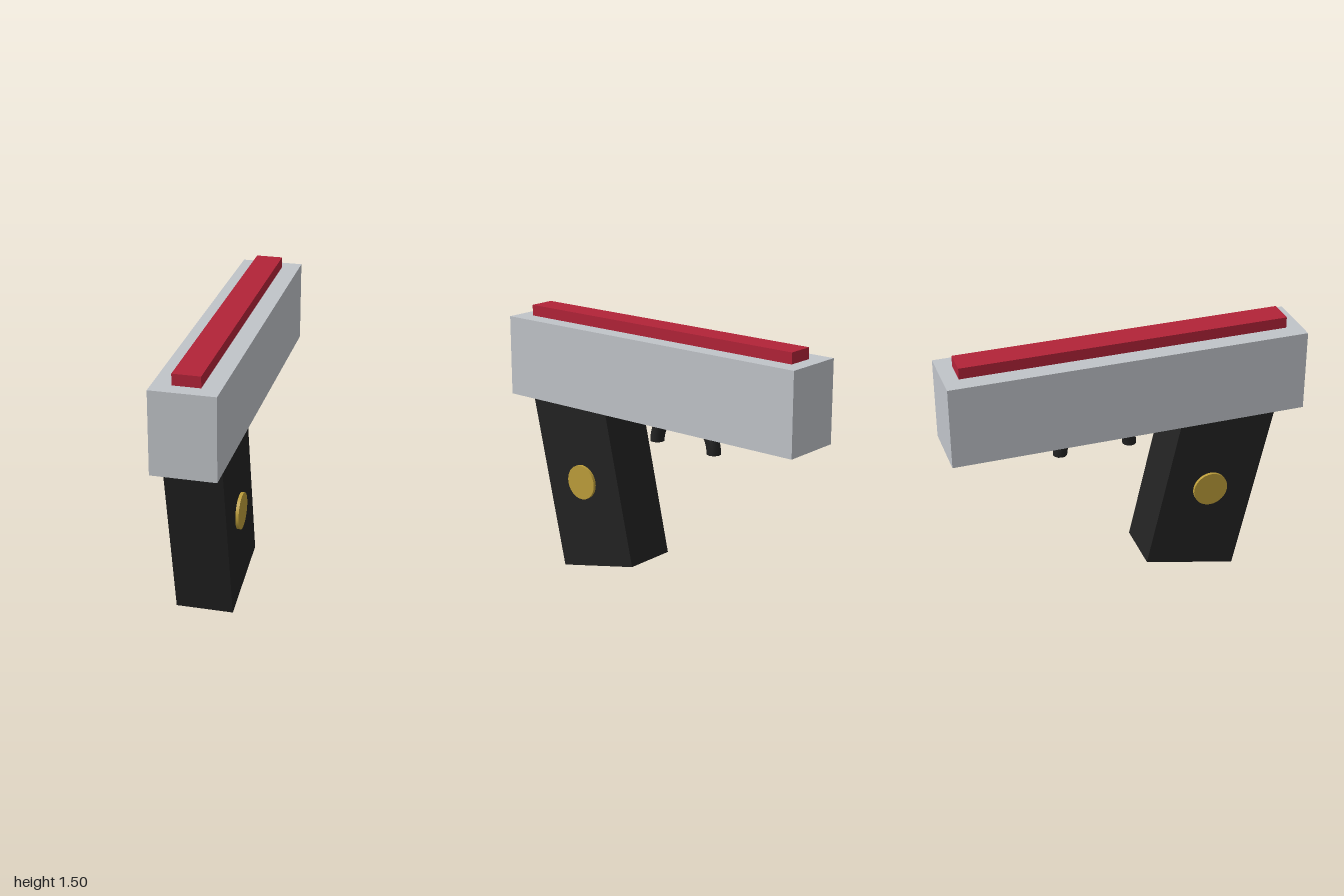
import * as THREE from 'three';

const mat = (name, color, side = THREE.FrontSide) => {
  const m = new THREE.MeshStandardMaterial({ color, side });
  m.name = name;
  return m;
};

export function createModel() {
  const group = new THREE.Group();
  group.name = 'toyBlaster';

  const silver = mat('silver', 0xc0c4c9);
  const black = mat('black', 0x222222, THREE.DoubleSide);
  const red = mat('red', 0xb22338);
  const gold = mat('gold', 0xbc9d3a);

  const add = (name, geometry, material, x, y, z) => {
    const mesh = new THREE.Mesh(geometry, material);
    mesh.name = name;
    mesh.position.set(x, y, z);
    group.add(mesh);
    return mesh;
  };

  // Long upper body and the stripe along its top
  add('slide', new THREE.BoxGeometry(0.35, 0.46, 2), silver, 0, 1.215, 0);
  add('topRail', new THREE.BoxGeometry(0.15, 0.08, 1.83), red, 0, 1.467, 0);

  // Slanted grip, its upper end sunk into the body
  const grip = add('grip', new THREE.BoxGeometry(0.315, 1, 0.538), black, 0, 0.55, 0.462);
  grip.rotation.x = 0.22;

  // Round medallion on each side of the grip
  for (const side of [1, -1]) {
    const disc = new THREE.CylinderGeometry(0.1, 0.1, 0.03, 32);
    disc.rotateZ(Math.PI / 2);
    add(side > 0 ? 'leftMedallion' : 'rightMedallion', disc, gold, side * 0.16, 0.55, 0.462);
  }

  // Half-ring guard under the body, its crown hidden inside
  const guard = new THREE.TorusGeometry(0.2, 0.04, 12, 24, Math.PI);
  guard.rotateY(Math.PI / 2);
  add('triggerGuard', guard, black, 0, 0.845, -0.165);

  return group;
}
